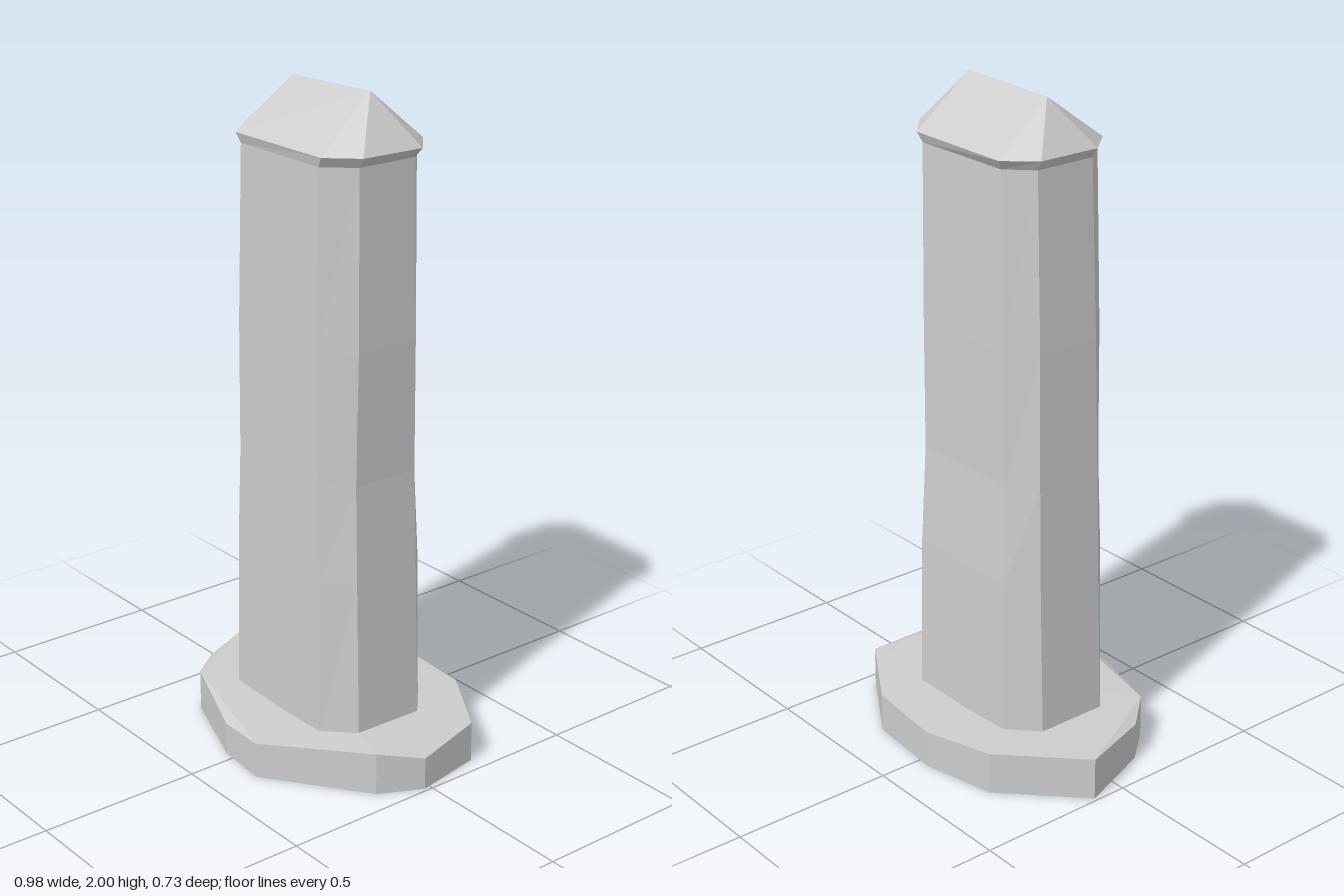
import * as THREE from 'three';

// Flat-shaded geometry from a list of triangles
function facets(tris) {
  const geo = new THREE.BufferGeometry();
  geo.setAttribute('position', new THREE.Float32BufferAttribute(tris.flat(2), 3));
  geo.computeVertexNormals();
  return geo;
}

// Walls between successive rings; degenerate triangles are skipped
function loft(rings) {
  const tris = [];
  const add = (a, b, c) => { if (a !== b && b !== c && c !== a) tris.push([a, b, c]); };
  for (let k = 0; k < rings.length - 1; k++) {
    const lo = rings[k], hi = rings[k + 1], n = lo.length;
    for (let i = 0; i < n; i++) {
      const j = (i + 1) % n;
      add(lo[j], lo[i], hi[i]);
      add(lo[j], hi[i], hi[j]);
    }
  }
  return tris;
}

// Fan from a centre point to a ring, facing up or down
function fan(center, ring, up) {
  return ring.map((p, i) => {
    const q = ring[(i + 1) % ring.length];
    return up ? [center, q, p] : [center, p, q];
  });
}

// Rectangle with chamfered corners at height y
function octagon(y, xL, xl, xr, xR, zB, zb, zf, zF) {
  return [[xL, y, zb], [xl, y, zB], [xr, y, zB], [xR, y, zb],
    [xR, y, zf], [xr, y, zF], [xl, y, zF], [xL, y, zf]];
}

export function createModel() {
  const group = new THREE.Group();
  const stone = new THREE.MeshStandardMaterial({ color: 0xcccccc, flatShading: true });
  stone.name = 'grey stone';
  const add = (name, tris) => {
    const mesh = new THREE.Mesh(facets(tris), stone);
    mesh.name = name;
    group.add(mesh);
  };

  // Rough slab with an uneven top: x, z, height of each corner
  const outline = [
    [-0.49, -0.10, 0.13], [-0.27, -0.315, 0.13], [-0.04, -0.365, 0.115], [0.21, -0.345, 0.12],
    [0.45, -0.195, 0.125], [0.49, 0.02, 0.10], [0.425, 0.15, 0.13], [0.13, 0.362, 0.11],
    [-0.035, 0.347, 0.10], [-0.31, 0.245, 0.13], [-0.40, 0.14, 0.115],
  ];
  const foot = outline.map(([x, z]) => [x, 0, z]);
  const rim = outline.map(([x, z, h]) => [x, h, z]);
  const low = [5, 8, 10]; // worn corners that slope off the main top
  const core = rim.filter((_, i) => !low.includes(i));
  const worn = low.map((i) => [rim[(i + 1) % rim.length], rim[i], rim[i - 1]]);
  add('baseSlab', [
    ...loft([foot, rim]),
    ...fan([0, 0, 0], foot, false),
    ...fan([0, 0.13, 0], core, true),
    ...worn,
  ]);

  // Slightly crooked, tapering pillar
  const sections = [
    octagon(0.10, -0.275, -0.19, 0.205, 0.297, -0.197, -0.115, 0.11, 0.185),
    octagon(0.60, -0.255, -0.18, 0.205, 0.285, -0.185, -0.11, 0.11, 0.185),
    octagon(0.90, -0.245, -0.165, 0.20, 0.278, -0.17, -0.105, 0.11, 0.185),
    octagon(1.30, -0.23, -0.155, 0.205, 0.287, -0.165, -0.095, 0.11, 0.19),
    octagon(1.82, -0.205, -0.135, 0.21, 0.285, -0.155, -0.085, 0.11, 0.19),
  ];
  add('pillar', loft(sections));

  // Cap: flared lip, then a hipped top rising to a ridge
  const lip = [[-0.225, -0.09], [-0.15, -0.175], [0.22, -0.167], [0.315, -0.085],
    [0.307, 0.115], [0.23, 0.197], [-0.145, 0.2], [-0.225, 0.11]].map(([x, z]) => [x, 1.85, z]);
  const left = [-0.127, 1.99, 0.012], right = [0.207, 2.0, 0.01];
  const ridge = [left, left, right, right, right, right, left, left];
  add('cap', loft([sections[4], lip, ridge]));

  return group;
}
